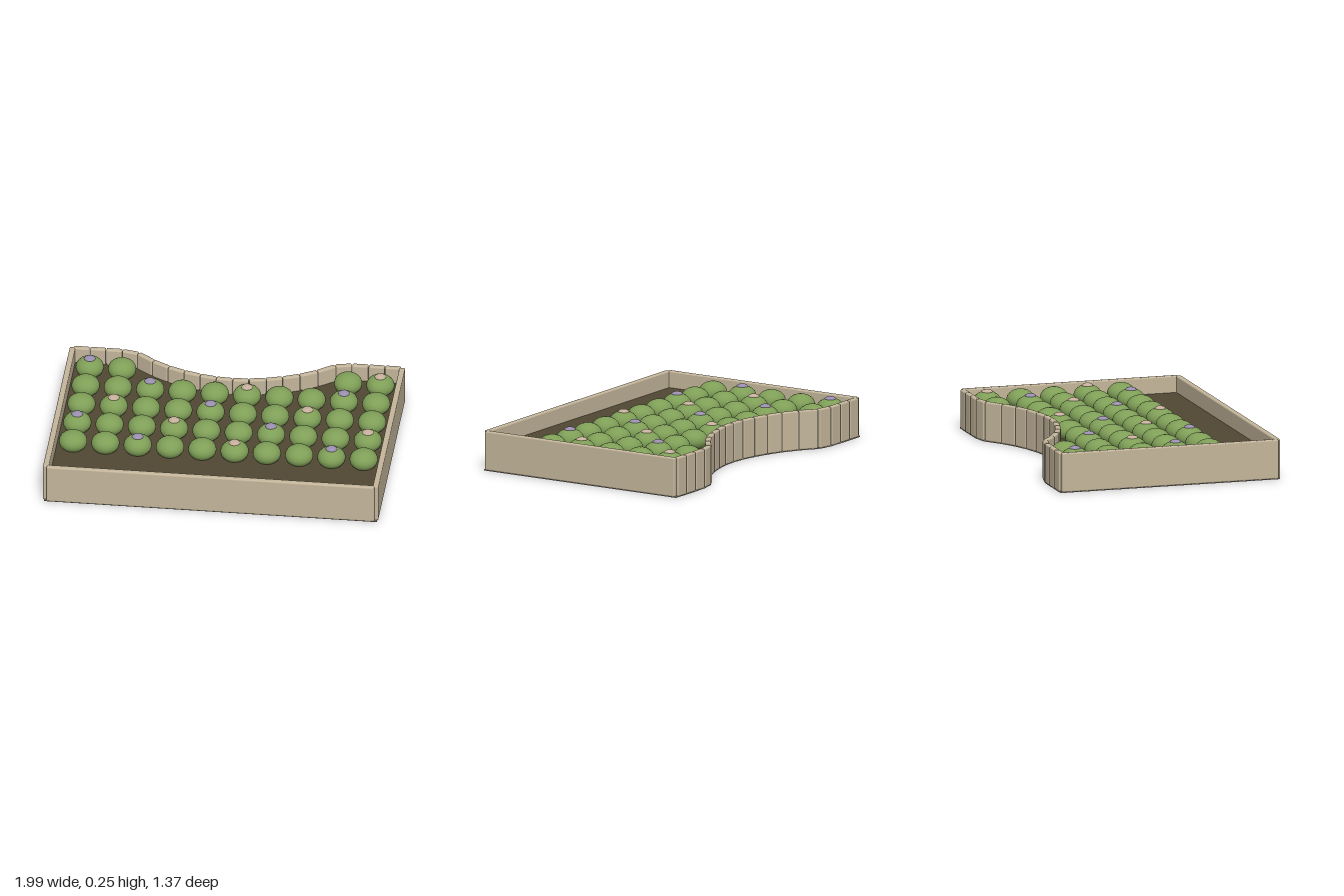
import * as THREE from 'three';
import { RoundedBoxGeometry } from 'three/addons/geometries/RoundedBoxGeometry.js';

const mat = (name, color) => {
  const m = new THREE.MeshStandardMaterial({ color });
  m.name = name;
  return m;
};

export function createModel() {
  const root = new THREE.Group();
  const stone = mat('stone', 0xc4b69b);
  const soil = mat('soil', 0x504733);
  const underside = mat('underside', 0xa0988a);
  const leaf = mat('leaf', 0x7f9f57);
  const purple = mat('purple petal', 0x9a8fae);
  const beige = mat('beige petal', 0xc6b09c);

  const add = (name, geometry, material, x = 0, y = 0, z = 0, parent = root) => {
    const mesh = new THREE.Mesh(geometry, material);
    mesh.name = name;
    mesh.position.set(x, y, z);
    parent.add(mesh);
    return mesh;
  };

  // Centre line of the back wall, mirrored from the right half
  const step = 0.0975;
  const backZ = [-0.424, -0.43, -0.45, -0.478, -0.518, -0.574, -0.648, -0.668, -0.669, -0.669, -0.669];
  const path = [];
  for (let i = -10; i <= 10; i++) path.push([i * step, backZ[Math.abs(i)]]);

  // Slab with the back curve cut in; grow pushes its outline outward
  const slab = (height, grow) => {
    const shape = new THREE.Shape();
    const halfW = 0.978 + grow;
    shape.moveTo(-halfW, -0.665 - grow);
    shape.lineTo(halfW, -0.665 - grow);
    for (const [x, z] of [...path].reverse()) {
      shape.lineTo(Math.abs(x) > 0.97 ? Math.sign(x) * halfW : x, -z + grow);
    }
    shape.closePath();
    return new THREE.ExtrudeGeometry(shape, { depth: height, bevelEnabled: false }).rotateX(-Math.PI / 2);
  };
  add('basePlate', slab(0.008, 0.012), underside);
  add('soilBed', slab(0.132, 0), soil, 0, 0.008);

  // Straight walls
  const wallH = 0.236, wallY = 0.004 + wallH / 2, t = 0.034, bevel = 0.009;
  const wall = (w, d) => new RoundedBoxGeometry(w, wallH, d, 2, bevel);
  add('frontWall', wall(1.95, t), stone, 0, wallY, 0.667);
  for (const s of [-1, 1]) add(s > 0 ? 'leftWall' : 'rightWall', wall(t, 1.34), stone, s * 0.98, wallY, -0.002);

  // Curved back wall of short blocks
  const backWall = new THREE.Group();
  backWall.name = 'backWall';
  root.add(backWall);
  for (let i = 0; i < path.length - 1; i++) {
    const [x0, z0] = path[i], [x1, z1] = path[i + 1];
    const block = add('backBlock', wall(Math.hypot(x1 - x0, z1 - z0) - 0.003, t), stone,
      (x0 + x1) / 2, wallY, (z0 + z1) / 2, backWall);
    block.rotation.y = -Math.atan2(z1 - z0, x1 - x0);
  }

  // Rows of round plants; every third one carries a flower
  const plants = new THREE.Group();
  plants.name = 'plants';
  root.add(plants);
  const bush = new THREE.IcosahedronGeometry(0.084, 3).scale(1, 0.75, 1);
  const flower = new THREE.SphereGeometry(0.035, 12, 8).scale(1, 0.5, 1);
  for (let row = 0; row < 5; row++) {
    for (let col = 0; col < 10; col++) {
      if (row === 0 && col > 1 && col < 8) continue;
      const x = (col - 4.5) * 0.192, z = -0.553 + row * 0.2075;
      add('plant', bush, leaf, x, 0.181, z, plants);
      if ((row + col) % 3 === 0) add('flower', flower, col % 2 ? beige : purple, x, 0.236, z, plants);
    }
  }
  return root;
}
